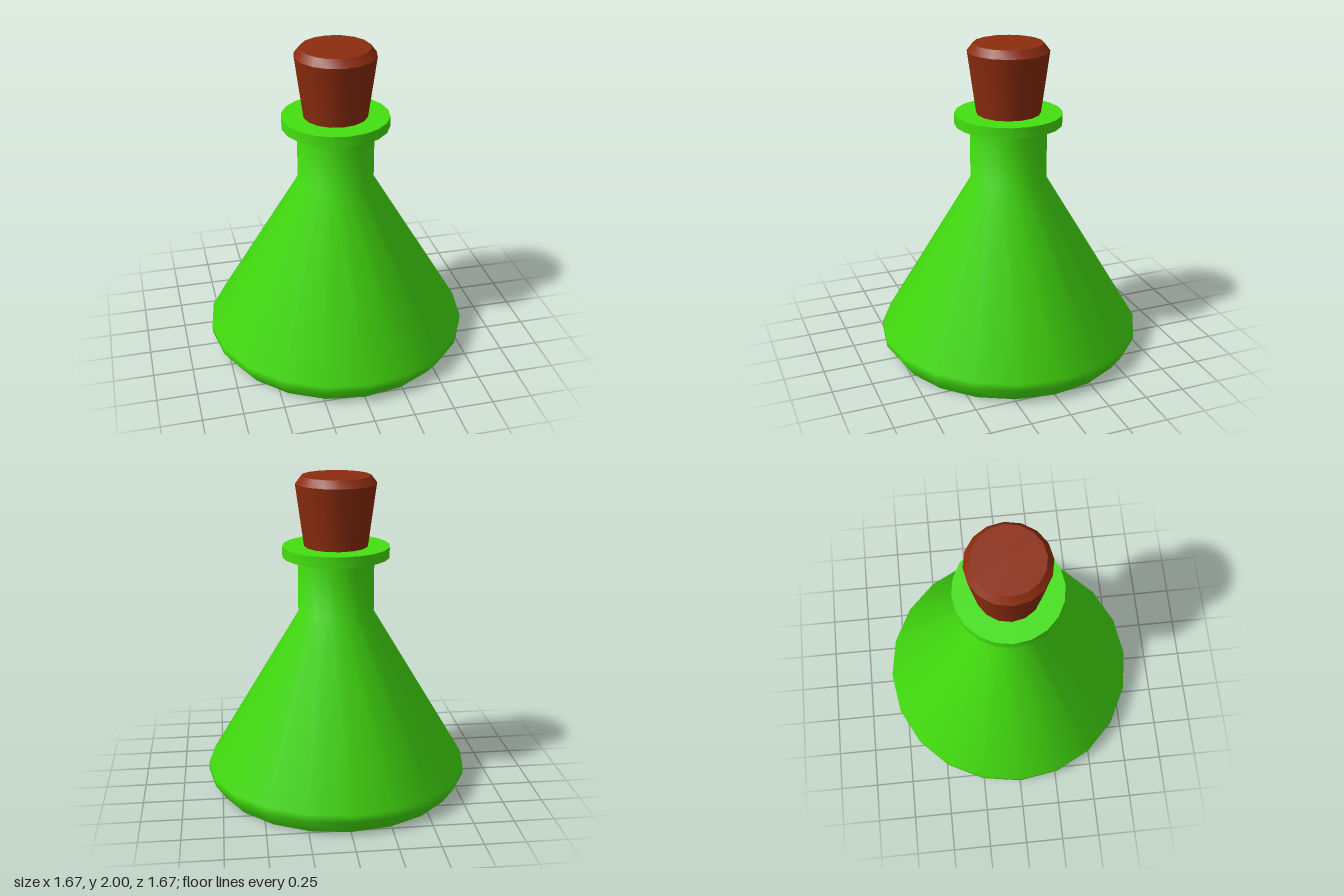
import * as THREE from 'three';
import { toCreasedNormals } from 'three/addons/utils/BufferGeometryUtils.js';

// Turned solid from a bottom-to-top [radius, height] profile
function turned(name, profile, sides, color) {
  const points = profile.map(([r, y]) => new THREE.Vector2(r, y));
  const geometry = toCreasedNormals(
    new THREE.LatheGeometry(points, sides),
    THREE.MathUtils.degToRad(40)
  );
  const mesh = new THREE.Mesh(geometry, new THREE.MeshStandardMaterial({ color }));
  mesh.name = name;
  return mesh;
}

export function createModel() {
  const model = new THREE.Group();
  model.name = 'corkedFlask';
  const green = 0x44e010;
  const brown = 0x8c2c0f;

  // Conical body with chamfered foot and straight neck
  model.add(turned('flaskBody', [
    [0, 0], [0.77, 0], [0.835, 0.095], [0.835, 0.14], [0.24, 1.14], [0.24, 1.51],
  ], 20, green));

  // Flat lip around the mouth
  model.add(turned('lip', [
    [0, 1.5], [0.335, 1.5], [0.335, 1.567], [0, 1.567],
  ], 20, green));

  // Tapered stopper with a bevelled top
  model.add(turned('cork', [
    [0, 1.53], [0.195, 1.53], [0.252, 1.953], [0.215, 2], [0, 2],
  ], 16, brown));

  return model;
}
